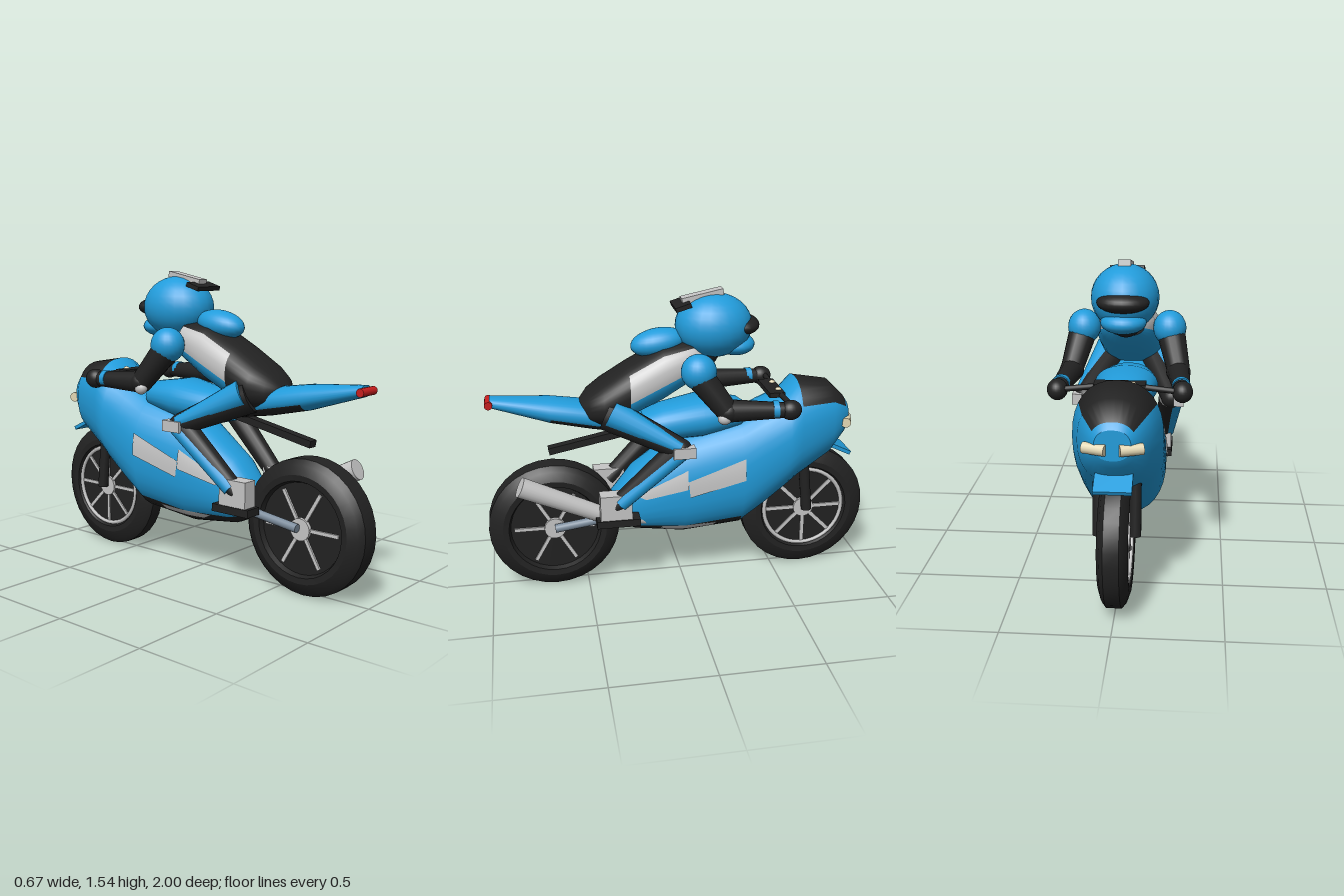
import * as THREE from 'three';
import { toCreasedNormals } from 'three/addons/utils/BufferGeometryUtils.js';

const mat = (name, color, side = THREE.FrontSide) => {
  const m = new THREE.MeshStandardMaterial({ color, side });
  m.name = name;
  return m;
};

export function createModel() {
  const blue = mat('blue', 0x229cdb), black = mat('black', 0x222222);
  const silver = mat('silver', 0xc6c6c6, THREE.DoubleSide), red = mat('red', 0xc81e1e);
  const cream = mat('cream', 0xe2d6b2), steel = mat('steel', 0x7c8c9c);
  const model = new THREE.Group();

  const add = (name, geo, material, parent = model) => {
    const m = new THREE.Mesh(geo, material);
    m.name = name;
    parent.add(m);
    return m;
  };
  const box = (name, m, size, pos, rx = 0, parent = model) => {
    const b = add(name, new THREE.BoxGeometry(...size), m, parent);
    b.position.set(...pos);
    b.rotation.x = rx;
    return b;
  };
  const ball = (name, m, radii, pos, rx = 0) => {
    const b = add(name, new THREE.SphereGeometry(1, 24, 16), m);
    b.scale.set(...radii);
    b.position.set(...pos);
    b.rotation.x = rx;
    return b;
  };
  // tapered round bar between two points
  const bar = (name, m, a, b, ra, rb = ra, sides = 14) => {
    const A = new THREE.Vector3(...a), B = new THREE.Vector3(...b), d = B.clone().sub(A);
    const c = add(name, new THREE.CylinderGeometry(rb, ra, d.length(), sides), m);
    c.position.copy(A).add(B).multiplyScalar(0.5);
    c.quaternion.setFromUnitVectors(new THREE.Vector3(0, 1, 0), d.normalize());
    return c;
  };

  // body through stations [z, top, bottom, halfWidth], from front to back;
  // pick(sin, z) chooses a material index for each patch
  const loft = (name, stations, power, materials, pick = () => 0) => {
    const N = 32, pos = [], faces = materials.map(() => []);
    const pw = v => Math.sign(v) * Math.abs(v) ** (2 / power);
    for (const [z, t, b, w] of stations)
      for (let i = 0; i < N; i++) {
        const a = (i / N) * Math.PI * 2;
        pos.push(w * pw(Math.cos(a)), (t + b) / 2 + ((t - b) / 2) * pw(Math.sin(a)), z);
      }
    for (let s = 0; s < stations.length - 1; s++)
      for (let i = 0; i < N; i++) {
        const a = s * N + i, b = s * N + (i + 1) % N, c = a + N, d = b + N;
        const zm = (stations[s][0] + stations[s + 1][0]) / 2;
        faces[pick(Math.sin(((i + 0.5) / N) * Math.PI * 2), zm)].push(a, b, c, b, d, c);
      }
    // end caps
    [0, stations.length - 1].forEach((s, end) => {
      const [z, t, b] = stations[s], base = pos.length / 3;
      pos.push(0, (t + b) / 2, z);
      for (let i = 0; i < N; i++) pos.push(...pos.slice((s * N + i) * 3, (s * N + i) * 3 + 3));
      for (let i = 0; i < N; i++) {
        const p = base + 1 + i, q = base + 1 + (i + 1) % N;
        faces[0].push(base, ...(end ? [p, q] : [q, p]));
      }
    });
    const g = new THREE.BufferGeometry();
    g.setAttribute('position', new THREE.Float32BufferAttribute(pos, 3));
    g.setIndex(faces.flat());
    let start = 0;
    faces.forEach((f, i) => { g.addGroup(start, f.length, i); start += f.length; });
    g.computeVertexNormals();
    return add(name, g, materials);
  };

  // wheels: tyre with dished sides, hub, spokes
  const wheel = (name, z, w, spokes, rim) => {
    const g = new THREE.Group();
    g.name = name;
    g.position.set(0, 0.335, z);
    model.add(g);
    const half = [[0, 0.7], [0.225, 0.7], [0.235, 0.97], [0.265, 1], [0.31, 0.78], [0.335, 0.5]];
    const pts = [...half.map(([r, k]) => new THREE.Vector2(r, -k * w)),
      ...half.slice().reverse().map(([r, k]) => new THREE.Vector2(r, k * w))];
    add('tyre', toCreasedNormals(new THREE.LatheGeometry(pts, 32).rotateZ(Math.PI / 2), 0.4), black, g);
    add('hub', new THREE.CylinderGeometry(0.055, 0.055, w * 1.8, 16).rotateZ(Math.PI / 2), silver, g);
    for (let i = 0; i < spokes; i++) {
      const a = (i / spokes) * Math.PI * 2;
      box('spoke', silver, [w * 1.6, 0.018, 0.205], [0, -Math.sin(a) * 0.105, Math.cos(a) * 0.105], a, g);
    }
    if (rim) for (const s of [-1, 1]) {
      const r = add('rimRing', new THREE.TorusGeometry(0.215, 0.011, 6, 40).rotateY(Math.PI / 2), silver, g);
      r.position.x = s * w * 0.78;
    }
  };
  wheel('rearWheel', 0.665, 0.095, 6, false);
  wheel('frontWheel', -0.665, 0.07, 8, true);

  // fairing with dark windscreen and belly
  const body = [[-0.88, 0.92, 0.78, 0.08], [-0.86, 0.95, 0.74, 0.105], [-0.78, 1.03, 0.64, 0.165],
    [-0.6, 1.06, 0.52, 0.21], [-0.54, 0.99, 0.47, 0.213], [-0.42, 0.94, 0.37, 0.215], [-0.3, 0.88, 0.28, 0.213],
    [0, 0.8, 0.25, 0.195], [0.25, 0.62, 0.28, 0.14], [0.36, 0.48, 0.33, 0.1]];
  loft('fairing', body, 2.3, [blue, black], (s, z) =>
    (s > 0.55 && z < -0.6 && z > -0.87) || (s < -0.72 && z > -0.3) ? 1 : 0);

  // side graphics laid on the fairing; corners are [z, y]
  const skinX = (z, y) => {
    const i = Math.max(1, body.findIndex(b => b[0] >= z)), p = body[i - 1], q = body[i];
    const k = (z - p[0]) / (q[0] - p[0]), [t, b, w] = [1, 2, 3].map(j => p[j] + (q[j] - p[j]) * k);
    const s = Math.min(1, Math.abs((y - (t + b) / 2) / ((t - b) / 2)));
    return w * (1 - s ** 2.3) ** (1 / 2.3) + 0.006;
  };
  const decal = (name, [a, b, c, d], side) => {
    const g = new THREE.PlaneGeometry(1, 1, 10, 5), p = g.attributes.position;
    for (let i = 0; i < p.count; i++) {
      const u = p.getX(i) + 0.5, v = p.getY(i) + 0.5;
      const [z, y] = [0, 1].map(j => (a[j] * (1 - u) + b[j] * u) * v + (d[j] * (1 - u) + c[j] * u) * (1 - v));
      p.setXYZ(i, side * skinX(z, y), y, z);
    }
    // keep outward faces for shading on both sides
    if (side < 0) g.setIndex([...g.index.array].reverse());
    g.computeVertexNormals();
    add(name, g, silver);
  };

  // tank, tail and rear fender
  loft('tank', [[-0.36, 0.92, 0.86, 0.05], [-0.3, 0.96, 0.82, 0.12], [-0.1, 0.99, 0.78, 0.16],
    [0.1, 0.95, 0.77, 0.13], [0.22, 0.9, 0.8, 0.09]], 2.2, [blue]);
  loft('tail', [[0.1, 0.89, 0.82, 0.09], [0.25, 0.92, 0.82, 0.1], [0.45, 0.99, 0.85, 0.11],
    [0.66, 1.02, 0.895, 0.1], [0.95, 1.04, 0.985, 0.045]], 2.2, [blue, black],
    (s, z) => (s < -0.45 && z < 0.66 ? 1 : 0));
  bar('tailLight', red, [-0.06, 1.01, 0.955], [0.06, 1.01, 0.955], 0.02);
  box('rearFender', black, [0.05, 0.035, 0.5], [0, 0.785, 0.43], 0.2);

  // exhaust
  bar('exhaustCan', silver, [0.12, 0.415, 0.43], [0.152, 0.61, 0.83], 0.043, 0.052, 20);
  bar('exhaustPipe', silver, [0.1, 0.35, 0.16], [0.12, 0.415, 0.43], 0.025, 0.04);

  // dash and chin fin
  box('dash', black, [0.24, 0.025, 0.08], [0, 1.0, -0.48]);
  box('chinFin', blue, [0.17, 0.02, 0.16], [0, 0.675, -0.83], -0.45);

  // torso: dark back, pale side bands, blue flanks
  loft('torso', [[-0.1, 1.25, 1.14, 0.09], [-0.05, 1.29, 1.08, 0.14], [0.1, 1.27, 0.99, 0.165],
    [0.27, 1.18, 0.91, 0.165], [0.4, 1.1, 0.87, 0.162], [0.47, 1.05, 0.89, 0.12], [0.51, 1.0, 0.93, 0.06]],
    2.3, [black, silver, blue], (s, z) => (z > 0.25 || s > 0.65 ? 0 : s > -0.15 ? 1 : 2));
  ball('backHump', blue, [0.085, 0.07, 0.14], [0, 1.275, 0.11], 0.15);

  // helmet
  ball('neck', black, [0.08, 0.08, 0.08], [0, 1.22, -0.12]);
  ball('helmet', blue, [0.165, 0.16, 0.195], [0, 1.35, -0.17]);
  ball('visor', black, [0.125, 0.05, 0.09], [0, 1.35, -0.31]);
  ball('chinGuard', blue, [0.11, 0.055, 0.1], [0, 1.25, -0.28]);
  box('helmetCrest', silver, [0.06, 0.03, 0.21], [0, 1.5, -0.11], 0.2);
  box('helmetSpoiler', black, [0.17, 0.022, 0.08], [0, 1.46, -0.005], -0.3).rotation.x = 0.3;

  for (const s of [-1, 1]) {
    decal('rearFlash', [[0.25, 0.51], [-0.01, 0.65], [-0.01, 0.55], [0.2, 0.49]], s);
    decal('frontFlash', [[-0.01, 0.59], [-0.305, 0.7], [-0.305, 0.585], [-0.02, 0.505]], s);
    decal('bellyFlash', [[0.15, 0.32], [-0.17, 0.335], [-0.15, 0.3], [0.09, 0.29]], s);

    // running gear
    bar('fork', black, [s * 0.085, 0.335, -0.675], [s * 0.085, 0.68, -0.64], 0.028);
    bar('swingarm', steel, [s * 0.105, 0.345, 0.665], [s * 0.1, 0.4, 0.25], 0.022);
    bar('headlight', cream, [s * 0.03, 0.83, -0.885], [s * 0.13, 0.83, -0.85], 0.026);
    bar('handlebar', black, [s * 0.1, 1.0, -0.5], [s * 0.29, 0.985, -0.52], 0.014);
    ball('dial', cream, [0.016, 0.012, 0.016], [s * 0.06, 1.012, -0.5]);

    // arms
    ball('shoulder', blue, [0.082, 0.088, 0.088], [s * 0.213, 1.175, -0.055]);
    bar('upperArm', black, [s * 0.22, 1.15, -0.06], [s * 0.265, 0.98, -0.19], 0.07, 0.055);
    ball('elbow', black, [0.06, 0.055, 0.06], [s * 0.262, 0.985, -0.19]);
    ball('elbowPad', silver, [0.03, 0.032, 0.035], [s * 0.288, 0.957, -0.17]);
    bar('forearm', black, [s * 0.262, 0.985, -0.19], [s * 0.285, 0.98, -0.48], 0.057, 0.038);
    bar('cuff', blue, [s * 0.281, 0.985, -0.41], [s * 0.283, 0.985, -0.44], 0.043);
    ball('hand', black, [0.048, 0.05, 0.055], [s * 0.288, 0.98, -0.5]);

    // legs
    bar('thigh', black, [s * 0.1, 0.95, 0.38], [s * 0.225, 0.79, 0.04], 0.085, 0.055);
    bar('thighPanel', blue, [s * 0.13, 0.96, 0.36], [s * 0.25, 0.8, 0.04], 0.075, 0.032);
    bar('shin', black, [s * 0.215, 0.78, 0.05], [s * 0.175, 0.48, 0.36], 0.058, 0.045);
    bar('shinPanel', blue, [s * 0.245, 0.78, 0.025], [s * 0.195, 0.5, 0.335], 0.04, 0.038);
    ball('knee', black, [0.055, 0.055, 0.055], [s * 0.225, 0.785, 0.035]);
    box('kneePad', silver, [0.05, 0.055, 0.11], [s * 0.262, 0.783, 0.025]);
    box('boot', silver, [0.08, 0.14, 0.16], [s * 0.178, 0.48, 0.36]);
    box('bootSole', black, [0.09, 0.038, 0.22], [s * 0.178, 0.4, 0.35]);
  }
  return model;
}
